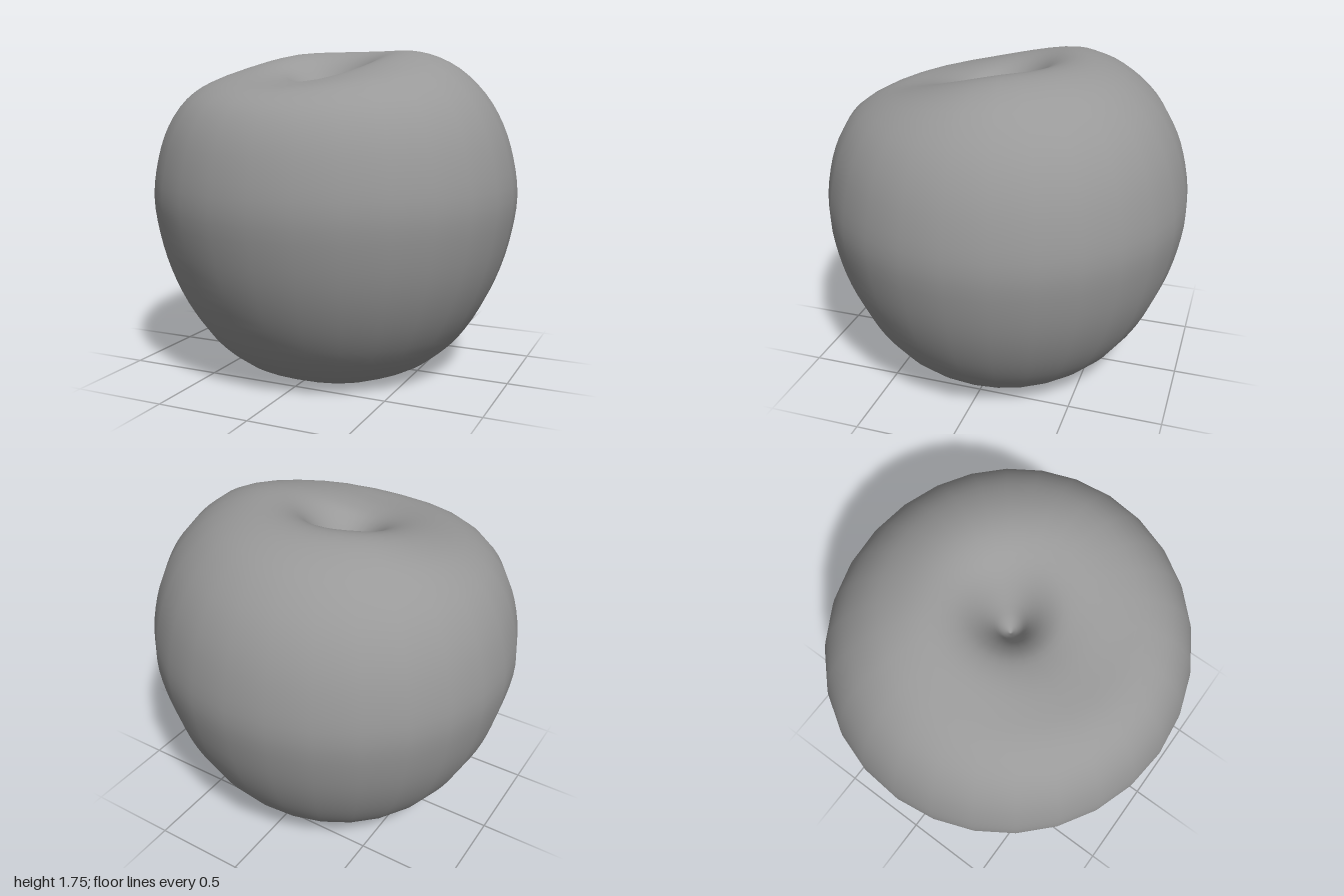
import * as THREE from 'three';
import { mergeVertices } from 'three/addons/utils/BufferGeometryUtils.js';

// Half outline from the bottom dimple, around the side, into the stem hollow
const OUTLINE = [
  [0, 0.15], [0.13, 0.14], [0.23, 0.1], [0.32, 0.03], [0.4, 0.004], [0.5, 0.035],
  [0.62, 0.118], [0.73, 0.23], [0.835, 0.39], [0.92, 0.58], [0.975, 0.78], [1, 0.98],
  [0.973, 1.18], [0.915, 1.36], [0.82, 1.52], [0.68, 1.655], [0.52, 1.735], [0.38, 1.758],
  [0.26, 1.725], [0.17, 1.65], [0.1, 1.55], [0.05, 1.45], [0, 1.39],
];

function fleshGeometry() {
  const curve = new THREE.SplineCurve(OUTLINE.map(([r, y]) => new THREE.Vector2(r, y)));
  const points = curve.getPoints(66);
  points[0].x = points[points.length - 1].x = 0;
  let geometry = new THREE.LatheGeometry(points, 28);
  const pos = geometry.attributes.position;
  const { smoothstep } = THREE.MathUtils;

  for (let i = 0; i < pos.count; i++) {
    const x = pos.getX(i), y = pos.getY(i), z = pos.getZ(i);
    const angle = Math.atan2(x, z);
    const r = Math.hypot(x, z);

    // Top slopes down to the front and slightly to the right, fading over the shoulder
    const upper = smoothstep(y, 0.9, 1.4);
    const top = upper * (1 - smoothstep(r, 0.3, 1));
    const slope = 0.25 * (z + 0.2) - 0.07 * x;
    const tilt = (slope + Math.sqrt(slope * slope + 0.0005)) / 2;

    // Shallow notch in the front rim of the stem hollow
    const notch = 0.035 * Math.exp(-((x / 0.28) ** 2)) * smoothstep(z, 0, 0.35);

    // Stem hollow sits a little off centre
    const hollow = upper * (1 - smoothstep(r, 0.15, 0.6));

    // Soft lobes around the base rim
    const base = (1 - smoothstep(y, 0.3, 0.5)) * Math.exp(-(((r - 0.34) / 0.14) ** 2));
    const lobes = base * 0.008 * (1 + Math.cos(5 * angle + 0.6));

    // Slightly fuller at the back left of the plan outline
    const full = 1 + 0.025 * Math.max(0, Math.cos(angle + 2.3)) ** 4;
    pos.setXYZ(
      i,
      x * full - 0.03 * hollow,
      y - top * (tilt + notch) + lobes,
      z * 0.975 * full + 0.02 * hollow
    );
  }

  // Weld the seam so the shading is continuous
  geometry.deleteAttribute('uv');
  geometry.deleteAttribute('normal');
  geometry = mergeVertices(geometry, 1e-4);
  geometry.computeVertexNormals();
  return geometry;
}

export function createModel() {
  const group = new THREE.Group();
  group.name = 'apple';
  const flesh = new THREE.Mesh(
    fleshGeometry(),
    new THREE.MeshStandardMaterial({ color: 0x999999 })
  );
  flesh.name = 'appleBody';
  group.add(flesh);
  return group;
}
